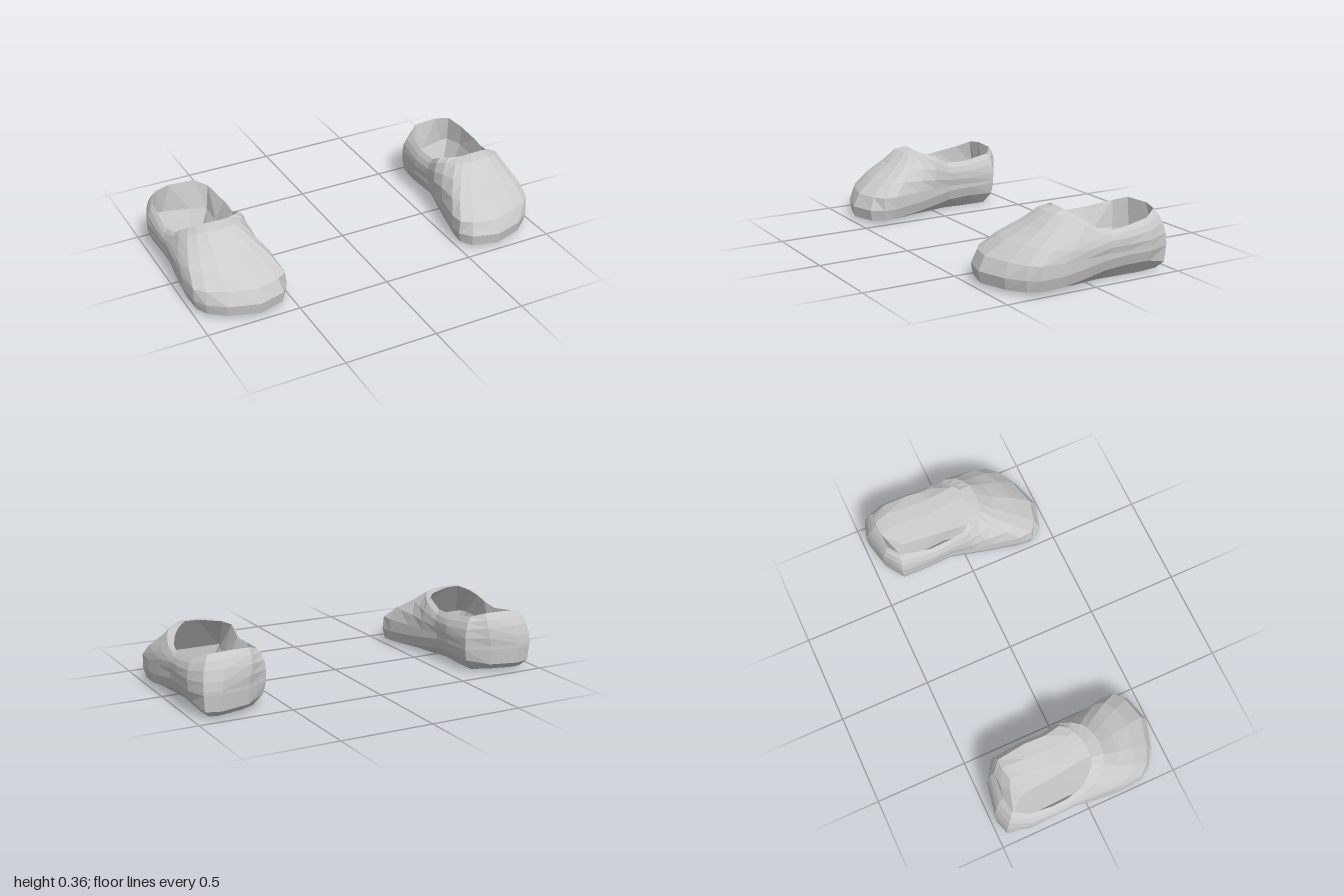
import * as THREE from 'three';

// One row per column around the shoe, from the toe round the outer side, heel and inner side:
// footprint x, z, then collar x, y, z
const COLUMNS = [
  [0.70, 0.48, 0.79, 0.36, 0.075], [0.86, 0.43, 0.83, 0.362, 0.075],
  [0.95, 0.365, 0.86, 0.35, 0.06], [0.99, 0.30, 0.89, 0.335, 0.035],
  [1.00, 0.18, 0.92, 0.31, 0.0], [0.995, 0.06, 0.94, 0.28, -0.04],
  [0.98, -0.08, 0.955, 0.26, -0.12], [0.985, -0.20, 0.96, 0.27, -0.2],
  [0.99, -0.34, 0.95, 0.29, -0.33], [0.955, -0.457, 0.91, 0.32, -0.405],
  [0.87, -0.483, 0.83, 0.33, -0.42], [0.71, -0.447, 0.69, 0.328, -0.41],
  [0.59, -0.38, 0.63, 0.305, -0.36], [0.58, -0.22, 0.605, 0.285, -0.2],
  [0.59, -0.09, 0.61, 0.285, -0.08], [0.565, 0.03, 0.605, 0.333, 0.0],
  [0.545, 0.14, 0.64, 0.345, 0.04], [0.515, 0.30, 0.69, 0.35, 0.06],
  [0.513, 0.375, 0.725, 0.355, 0.07], [0.56, 0.44, 0.76, 0.36, 0.075],
];
const N = COLUMNS.length;
const { lerp, clamp, smoothstep } = THREE.MathUtils;

// Outward direction of the footprint at a column
const NORMALS = COLUMNS.map((c, i) => {
  const a = COLUMNS[(i + N - 1) % N], b = COLUMNS[(i + 1) % N];
  return new THREE.Vector2(a[1] - b[1], b[0] - a[0]).normalize();
});

// Ring following the footprint, inset by d(z, normal) at height y(z)
const footRing = (d, y, zMax = 1) => COLUMNS.map(([x, z], i) => {
  const n = NORMALS[i], inset = d(z, n);
  return [x - n.x * inset, y(z), Math.min(z - n.y * inset, zMax)];
});

// Ring collapsed onto the shoe's centre line, closing a floor
const spineRing = (y, zMin, zMax) => COLUMNS.map(([, z]) => {
  const s = clamp(z, zMin, zMax);
  return [0.765 - 0.1 * s, y, s];
});

// Ring part way from the welt to the collar, swelling outward and upward
const upperRing = (welt, t, out, up) => COLUMNS.map(([, , rx, ry, rz], i) => {
  const [x, y, z] = welt[i], n = NORMALS[i];
  const front = smoothstep(z, -0.1, 0.25);
  return [
    lerp(x, rx, t) + n.x * out,
    lerp(y, ry, t) + up * front,
    lerp(z, rz, t) + n.y * out * (1 - 0.7 * front),
  ];
});

// Joins rings, listed from bottom to top, into a faceted skin
function skin(name, rings, side, material) {
  const position = [], index = [];
  rings.forEach((r) => r.forEach(([x, y, z]) => position.push(side * x, y, z)));
  for (let k = 0; k < rings.length - 1; k++) {
    for (let i = 0; i < N; i++) {
      const j = (i + 1) % N;
      const a = k * N + i, b = k * N + j, c = b + N, d = a + N;
      if (side > 0) index.push(a, b, c, a, c, d);
      else index.push(a, c, b, a, d, c);
    }
  }
  const geometry = new THREE.BufferGeometry();
  geometry.setAttribute('position', new THREE.Float32BufferAttribute(position, 3));
  geometry.setIndex(index);
  geometry.computeVertexNormals();
  const mesh = new THREE.Mesh(geometry, material);
  mesh.name = name;
  return mesh;
}

function createShoe(side, material) {
  const heel = (z) => smoothstep(-z, -0.3, 0.25);
  const heelTip = (z) => smoothstep(-z, 0.33, 0.47);
  const toe = (z) => smoothstep(z, 0.25, 0.46);

  // Sole: flat tread, edge that climbs toward the heel, side band up to the widest line
  const tread = footRing((z) => 0.075 - 0.025 * heelTip(z), (z) => 0.004 + 0.014 * toe(z) + 0.007 * heelTip(z));
  const soleEdge = footRing(
    (z) => 0.018 - 0.008 * toe(z) - 0.01 * heelTip(z),
    (z) => 0.02 + 0.055 * heel(z) - 0.03 * heelTip(z),
  );
  const band = footRing(() => 0, (z) => 0.08 + 0.05 * heel(z));

  // Upper: welt, swelling vamp and quarters, collar
  const welt = footRing((z, n) => 0.037 * toe(z) * Math.max(n.y, 0), () => 0.15);
  const collar = COLUMNS.map((c) => c.slice(2));
  const upper = [
    band, welt,
    upperRing(welt, 0.27, 0.014, 0.014),
    upperRing(welt, 0.58, 0.02, 0.012),
    upperRing(welt, 0.82, 0.014, 0.026),
    collar,
  ];

  // Lining: inner walls running into the toe pocket, then the insole
  const wall = footRing((z, n) => 0.055 - 0.015 * n.x, () => 0.17, 0.22);
  const insoleEdge = footRing((z, n) => 0.1 - 0.025 * n.x, () => 0.065, 0.22);

  const shoe = new THREE.Group();
  shoe.name = side > 0 ? 'leftShoe' : 'rightShoe';
  shoe.add(
    skin('sole', [spineRing(0.002, -0.35, 0.35), tread, soleEdge, band], side, material),
    skin('upper', upper, side, material),
    skin('lining', [collar, wall, insoleEdge, spineRing(0.05, -0.3, 0.15)], side, material),
  );
  return shoe;
}

export function createModel() {
  const material = new THREE.MeshStandardMaterial({ color: 0xcccccc, flatShading: true });
  const model = new THREE.Group();
  model.name = 'pairOfShoes';
  for (const side of [1, -1]) model.add(createShoe(side, material));
  return model;
}
